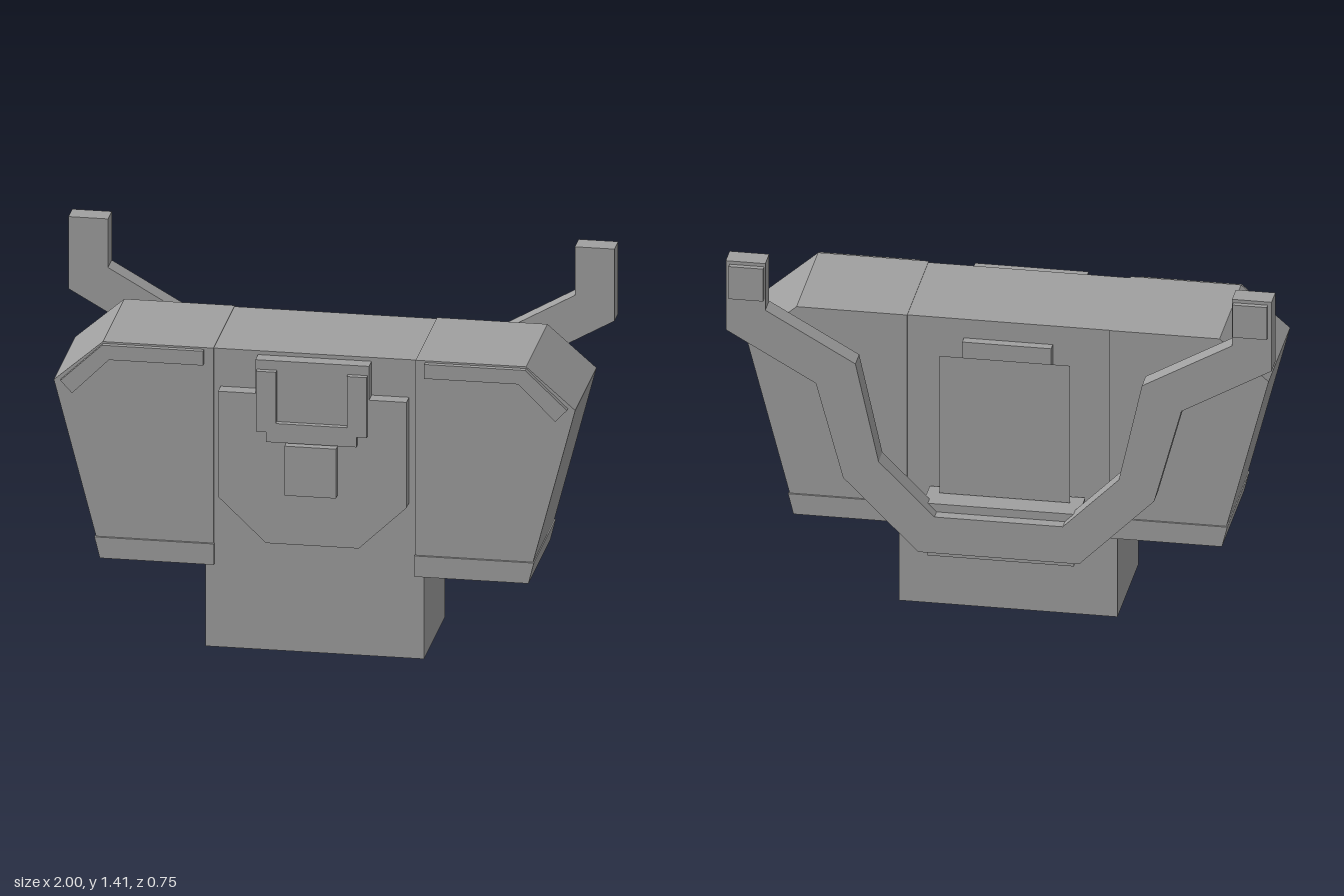
import * as THREE from 'three';

export function createModel() {
  const group = new THREE.Group();
  const grey = new THREE.MeshStandardMaterial({ color: 0xa0a0a0 });
  grey.name = 'plain grey';

  const add = (name, geometry, material = grey) => {
    const mesh = new THREE.Mesh(geometry, material);
    mesh.name = name;
    group.add(mesh);
    return mesh;
  };
  // Box given by its limits on each axis
  const box = (name, x0, x1, y0, y1, z0, z1) =>
    add(name, new THREE.BoxGeometry(x1 - x0, y1 - y0, z1 - z0)
      .translate((x0 + x1) / 2, (y0 + y1) / 2, (z0 + z1) / 2));
  // Flat outline in x/y, extruded between two z values
  const slab = (name, points, z0, z1) => {
    const shape = new THREE.Shape(points.map(([x, y]) => new THREE.Vector2(x, y)));
    return add(name, new THREE.ExtrudeGeometry(shape, { depth: z1 - z0, bevelEnabled: false }).translate(0, 0, z0));
  };
  // Closes a right-hand outline with its mirror image
  const symmetric = (half) => [...half, ...half.map(([x, y]) => [-x, y]).reverse()];

  // Central torso column
  box('torsoCore', -0.4, 0.4, 0, 1.148, -0.152, 0.288);

  // Mirrored side blocks with their trims
  for (const s of [1, -1]) {
    const side = s > 0 ? 'left' : 'right';
    const flip = (points) => points.map(([x, y]) => [s * x, y]);
    slab(side + 'SideBlock', flip([[0.37, 0.36], [0.79, 0.36], [0.955, 0.993], [0.775, 1.15], [0.37, 1.15]]), -0.158, 0.295);
    slab(side + 'LowerTrim', flip([[0.367, 0.32], [0.785, 0.32], [0.805, 0.4], [0.367, 0.4]]), -0.165, 0.304);
    slab(side + 'ShoulderTrim', flip([[0.405, 1.088], [0.75, 1.088], [0.885, 0.952], [0.928, 0.998],
      [0.775, 1.143], [0.405, 1.143]]), 0.29, 0.315);
    // Pad behind each arm tip
    const pad = box(side + 'ArmPad', -0.063, 0.063, 1.267, 1.397, -0.375, -0.354);
    pad.position.x = s * 0.923;
  }

  // Chest plate with raised collar tab
  slab('chestPlate', symmetric([[0.17, 0.43], [0.345, 0.597], [0.345, 1.003], [0.208, 1.003], [0.208, 1.133]]), 0.28, 0.342);
  // U-shaped buckle frame and the small block beneath it
  slab('buckleFrame', symmetric([[0.165, 0.827], [0.165, 0.865], [0.203, 0.865], [0.203, 1.097],
    [0.13, 1.097], [0.13, 0.9]]), 0.33, 0.364);
  box('buckleBlock', -0.096, 0.093, 0.63, 0.82, 0.33, 0.377);

  // Back spine plate, thin panel and its shelf
  box('spinePlate', -0.163, 0.163, 0.213, 1.073, -0.187, -0.15);
  const thin = grey.clone();
  thin.name = 'plain grey two-sided';
  thin.side = THREE.DoubleSide;
  add('backPanel', new THREE.PlaneGeometry(0.48, 0.55).rotateY(Math.PI).translate(0, 0.755, -0.227), thin);
  box('backShelf', -0.285, 0.285, 0.268, 0.477, -0.278, -0.17);
  box('backShelfLip', -0.268, 0.268, 0.268, 0.477, -0.312, -0.27);

  // Bent carrying frame with upright arm tips
  slab('backFrame', symmetric([[0.295, 0.3], [0.57, 0.575], [0.67, 0.945], [1, 1.133], [1, 1.41],
    [0.855, 1.41], [0.855, 1.223], [0.525, 1.035], [0.44, 0.65], [0.235, 0.445]]), -0.355, -0.275);

  return group;
}
